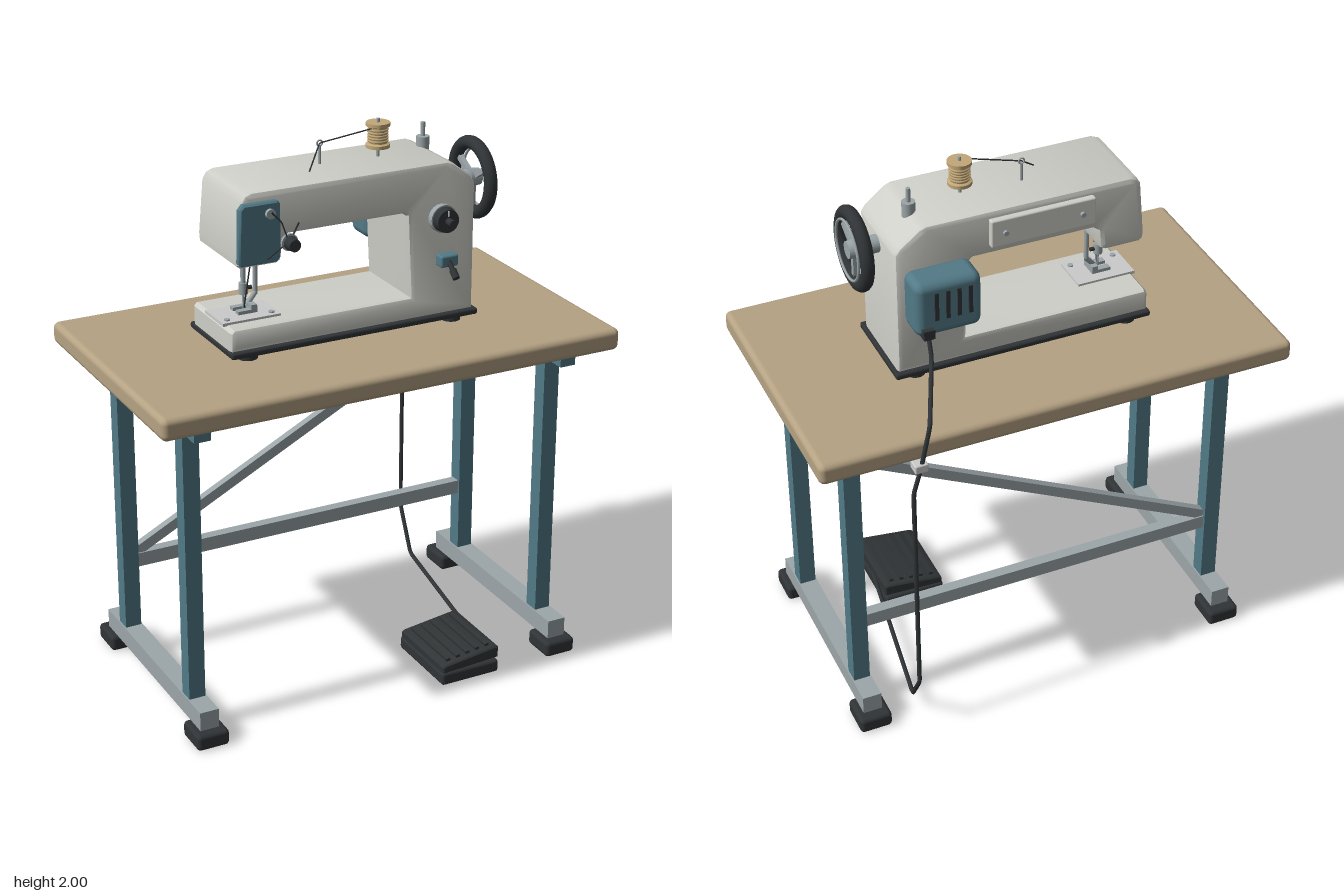
import * as THREE from 'three';
import { toCreasedNormals } from 'three/addons/utils/BufferGeometryUtils.js';
import { RoundedBoxGeometry } from 'three/addons/geometries/RoundedBoxGeometry.js';

const mat = (color) => new THREE.MeshStandardMaterial({ color });
const WOOD = mat(0xb5a283), BLUE = mat(0x527a87), BODY = mat(0xd0d0ca), STEEL = mat(0x9ca6a9);
const DARK = mat(0x303436), LIGHT = mat(0xcccccc), THREAD = mat(0xc2a878);
const V = (p) => new THREE.Vector3(...p);

export function createModel() {
  const model = new THREE.Group();

  const add = (name, geo, material, pos = [0, 0, 0], parent = model) => {
    const m = new THREE.Mesh(geo, material);
    m.name = name;
    m.position.set(...pos);
    parent.add(m);
    return m;
  };
  // box given by its extents on each axis, optionally rounded
  const box = (name, material, [x0, x1], [y0, y1], [z0, z1], r = 0) => {
    const s = [x1 - x0, y1 - y0, z1 - z0];
    const g = r ? new RoundedBoxGeometry(...s, 2, r) : new THREE.BoxGeometry(...s);
    return add(name, g, material, [(x0 + x1) / 2, (y0 + y1) / 2, (z0 + z1) / 2]);
  };
  // cylinder between two points
  const rod = (name, material, a, b, r, r2 = r, sides = 20) => {
    const p = V(a), d = V(b).sub(p);
    const m = add(name, new THREE.CylinderGeometry(r2, r, d.length(), sides), material);
    m.position.copy(p).addScaledVector(d, 0.5);
    m.quaternion.setFromUnitVectors(new THREE.Vector3(0, 1, 0), d.normalize());
    return m;
  };
  // tube with crisp bends through a list of points
  const wire = (name, material, pts, r) => {
    const path = new THREE.CurvePath();
    for (let i = 1; i < pts.length; i++) path.add(new THREE.LineCurve3(V(pts[i - 1]), V(pts[i])));
    return add(name, new THREE.TubeGeometry(path, pts.length * 12, r, 8), material);
  };
  // outline in x-y extruded from z0 to z1 with a bevelled rim
  const slab = (name, material, pts, z0, z1, bevel, segs = 2) => {
    const g = new THREE.ExtrudeGeometry(new THREE.Shape(pts.map((p) => new THREE.Vector2(...p))), {
      depth: z1 - z0 - 2 * bevel, bevelThickness: bevel, bevelSize: bevel, bevelOffset: -bevel, bevelSegments: segs });
    return add(name, toCreasedNormals(g, 0.6), material, [0, 0, z0 + bevel]);
  };

  // Table top and frame
  box('tableTop', WOOD, [-0.868, 0.868], [1.195, 1.275], [-0.48, 0.5], 0.022);
  for (const s of [-1, 1]) {
    const x = 0.7 * s;
    box('topRail', BLUE, [x - 0.03, x + 0.03], [1.14, 1.195], [-0.4, 0.43]);
    box('footRail', STEEL, [x - 0.035, x + 0.035], [0.06, 0.13], [-0.4, 0.43]);
    for (const z of [-0.27, 0.3]) {
      box('leg', BLUE, [x - 0.03, x + 0.03], [0.13, 1.14], [z - 0.03, z + 0.03]);
      box('mountingPlate', STEEL, [x - 0.068, x + 0.068], [1.172, 1.196], [z - 0.067, z + 0.067]);
      for (const t of [-0.05, 0.05]) rod('mountingBolt', STEEL, [x + t, 1.16, z], [x + t, 1.175, z], 0.012, 0.012, 8);
    }
    for (const z of [-0.375, 0.4]) box('footPad', DARK, [x - 0.06, x + 0.06], [0, 0.06], [z - 0.066, z + 0.066], 0.015);
  }
  box('crossBar', STEEL, [-0.67, 0.67], [0.362, 0.415], [-0.29, -0.25]);
  const brace = add('diagonalBrace', new THREE.BoxGeometry(1.5, 0.038, 0.03), STEEL, [0, 0.76, -0.27]);
  brace.rotation.z = Math.atan2(0.68, 1.34);

  // Machine body: bed, column, arm and head in one bevelled casting
  slab('machineBody', BODY, [
    [-0.472, 1.31], [0.462, 1.31], [0.462, 1.775], [0.445, 1.8], [0.375, 1.855], [0.35, 1.865],
    [-0.39, 1.865], [-0.415, 1.855], [-0.43, 1.83], [-0.447, 1.64], [-0.445, 1.615], [-0.43, 1.603],
    [-0.3, 1.603], [-0.285, 1.612], [-0.28, 1.63], [-0.275, 1.685], [-0.255, 1.7], [0.185, 1.7],
    [0.197, 1.69], [0.212, 1.393], [-0.46, 1.393], [-0.472, 1.38]], -0.15, 0.172, 0.018);
  box('basePlinth', DARK, [-0.477, 0.475], [1.292, 1.315], [-0.163, 0.186], 0.008);
  for (const x of [-0.4, 0.39]) for (const z of [-0.115, 0.14])
    rod('rubberFoot', DARK, [x, 1.272, z], [x, 1.295, z], 0.035);

  // Face plate, tension knob and thread take-up
  slab('facePlate', BLUE, [[-0.45, 1.63], [-0.44, 1.62], [-0.31, 1.62], [-0.296, 1.635], [-0.296, 1.82],
    [-0.306, 1.832], [-0.43, 1.832], [-0.445, 1.815]], 0.165, 0.195, 0.006, 1);
  rod('facePlateScrew', STEEL, [-0.337, 1.793, 0.19], [-0.337, 1.793, 0.208], 0.017);
  rod('tensionPost', STEEL, [-0.27, 1.685, 0.165], [-0.27, 1.685, 0.21], 0.012);
  rod('tensionDisc', STEEL, [-0.27, 1.685, 0.198], [-0.27, 1.685, 0.208], 0.03);
  rod('tensionKnob', DARK, [-0.27, 1.685, 0.212], [-0.27, 1.685, 0.248], 0.025, 0.021);
  wire('tensionSpring', DARK, [[-0.27, 1.685, 0.205], [-0.235, 1.75, 0.205]], 0.003);
  wire('takeUpThread', DARK, [[-0.337, 1.8, 0.21], [-0.3, 1.76, 0.208], [-0.275, 1.69, 0.208], [-0.345, 1.64, 0.202], [-0.365, 1.6, 0.1], [-0.368, 1.42, 0.05]], 0.0025);

  // Needle assembly
  box('needlePlate', LIGHT, [-0.477, -0.26], [1.39, 1.401], [-0.03, 0.115]);
  for (const x of [-0.45, -0.285]) rod('plateScrew', STEEL, [x, 1.4, 0.09], [x, 1.406, 0.09], 0.01);
  rod('needleBar', STEEL, [-0.366, 1.5, 0.04], [-0.366, 1.62, 0.04], 0.009);
  rod('needleClamp', STEEL, [-0.366, 1.465, 0.04], [-0.366, 1.505, 0.04], 0.016);
  rod('clampScrew', DARK, [-0.366, 1.485, 0.04], [-0.335, 1.485, 0.04], 0.007);
  rod('needle', STEEL, [-0.366, 1.395, 0.04], [-0.366, 1.47, 0.04], 0.002, 0.005, 10);
  wire('presserBar', STEEL, [[-0.316, 1.62, 0.03], [-0.316, 1.46, 0.03], [-0.352, 1.42, 0.035]], 0.009);
  for (const z of [0.018, 0.062]) box('presserToe', STEEL, [-0.4, -0.33], [1.404, 1.416], [z - 0.012, z + 0.012]);
  box('presserBridge', STEEL, [-0.352, -0.33], [1.404, 1.432], [0.006, 0.074]);

  // Stitch dial and reverse lever
  rod('dialBase', STEEL, [0.325, 1.67, 0.165], [0.325, 1.67, 0.195], 0.05);
  rod('stitchDial', DARK, [0.325, 1.67, 0.195], [0.325, 1.67, 0.225], 0.045, 0.041, 28);
  rod('dialGrip', DARK, [0.325, 1.67, 0.225], [0.325, 1.67, 0.258], 0.013);
  box('dialMark', LIGHT, [0.322, 0.328], [1.688, 1.708], [0.22, 0.227]);
  box('leverMount', BLUE, [0.308, 0.377], [1.497, 1.54], [0.165, 0.212], 0.008);
  rod('reverseLever', DARK, [0.34, 1.52, 0.205], [0.34, 1.48, 0.25], 0.009);
  rod('leverTip', DARK, [0.34, 1.495, 0.235], [0.34, 1.472, 0.26], 0.013);

  // Handwheel on its shaft
  const wheel = new THREE.Group();
  wheel.name = 'handwheel';
  wheel.position.set(0.543, 1.737, 0.012);
  wheel.rotation.y = Math.PI / 2;
  model.add(wheel);
  add('wheelRim', new THREE.TorusGeometry(0.124, 0.024, 14, 48), DARK, [0, 0, 0], wheel);
  add('wheelTrim', new THREE.TorusGeometry(0.105, 0.005, 8, 48), STEEL, [0, 0, 0.024], wheel);
  for (let i = 0; i < 3; i++) {
    const a = -Math.PI / 2 + (i * 2 * Math.PI) / 3;
    const spoke = add('wheelSpoke', new THREE.BoxGeometry(0.115, 0.02, 0.018), STEEL,
      [0.06 * Math.cos(a), 0.06 * Math.sin(a), 0], wheel);
    spoke.rotation.z = a;
  }
  rod('wheelShaft', STEEL, [0.45, 1.737, 0.012], [0.53, 1.737, 0.012], 0.031);
  rod('wheelHub', STEEL, [0.52, 1.737, 0.012], [0.568, 1.737, 0.012], 0.036, 0.03);

  // Motor and rear cover plate
  box('motorHousing', BLUE, [0.2, 0.435], [1.51, 1.715], [-0.262, -0.135], 0.03);
  for (let i = 0; i < 4; i++) {
    const x = 0.245 + i * 0.04;
    box('motorVent', DARK, [x - 0.007, x + 0.007], [1.575, 1.68], [-0.267, -0.25]);
  }
  box('cableSocket', DARK, [0.378, 0.418], [1.515, 1.55], [-0.28, -0.24]);
  box('rearCover', BODY, [-0.25, 0.13], [1.735, 1.838], [-0.172, -0.14], 0.006);
  for (const x of [-0.2, 0.08]) rod('coverScrew', STEEL, [x, 1.787, -0.165], [x, 1.787, -0.182], 0.009);

  // Spool, thread guide and bobbin winder on top
  rod('spoolPin', STEEL, [0.167, 1.86, 0.005], [0.167, 2, 0.005], 0.006);
  const spool = [[0, 0], [0.042, 0], [0.042, 0.012], [0.033, 0.016], [0.033, 0.072], [0.042, 0.076], [0.042, 0.088], [0, 0.088]];
  add('spool', toCreasedNormals(new THREE.LatheGeometry(spool.map((p) => new THREE.Vector2(...p)), 28), 0.5),
    THREAD, [0.167, 1.898, 0.005]);
  for (let i = 0; i < 5; i++) {
    const wind = add('threadWinding', new THREE.TorusGeometry(0.033, 0.004, 6, 28), THREAD, [0.167, 1.922 + i * 0.01, 0.005]);
    wind.rotation.x = Math.PI / 2;
  }
  rod('guidePost', STEEL, [-0.05, 1.86, -0.008], [-0.05, 1.93, -0.008], 0.005);
  add('guideEye', new THREE.TorusGeometry(0.01, 0.003, 8, 20), STEEL, [-0.05, 1.938, -0.008]);
  wire('topThread', DARK, [[0.13, 1.972, 0.025], [-0.05, 1.938, -0.008], [-0.125, 1.866, 0.062]], 0.0025);
  rod('winderBase', STEEL, [0.365, 1.84, -0.033], [0.365, 1.9, -0.033], 0.023);
  rod('winderPin', STEEL, [0.365, 1.9, -0.033], [0.365, 1.95, -0.033], 0.008);

  // Foot pedal, its tread rising toward +x
  box('pedalBase', DARK, [0.2, 0.435], [0, 0.05], [0.145, 0.465], 0.012);
  slab('pedalTread', DARK, [[0.205, 0.045], [0.435, 0.058], [0.435, 0.1], [0.42, 0.104], [0.215, 0.077], [0.205, 0.07]], 0.15, 0.46, 0.005, 1);
  for (let i = 0; i < 5; i++) {
    const x = 0.24 + i * 0.04;
    const rib = add('pedalRib', new THREE.BoxGeometry(0.016, 0.014, 0.26), DARK, [x, 0.083 + (x - 0.24) * 0.13, 0.305]);
    rib.rotation.z = 0.13;
  }

  // Power cable and the clip at the table's rear edge
  wire('powerCable', DARK, [[0.397, 1.53, -0.262], [0.402, 1.46, -0.3], [0.49, 1.335, -0.493], [0.525, 1.18, -0.495],
    [0.555, 1.08, -0.497], [0.555, 0.23, -0.497], [0.54, 0.07, -0.385], [0.43, 0.06, 0.3]], 0.008);
  box('cableClip', LIGHT, [0.503, 0.55], [1.165, 1.198], [-0.508, -0.46], 0.005);

  return model;
}
